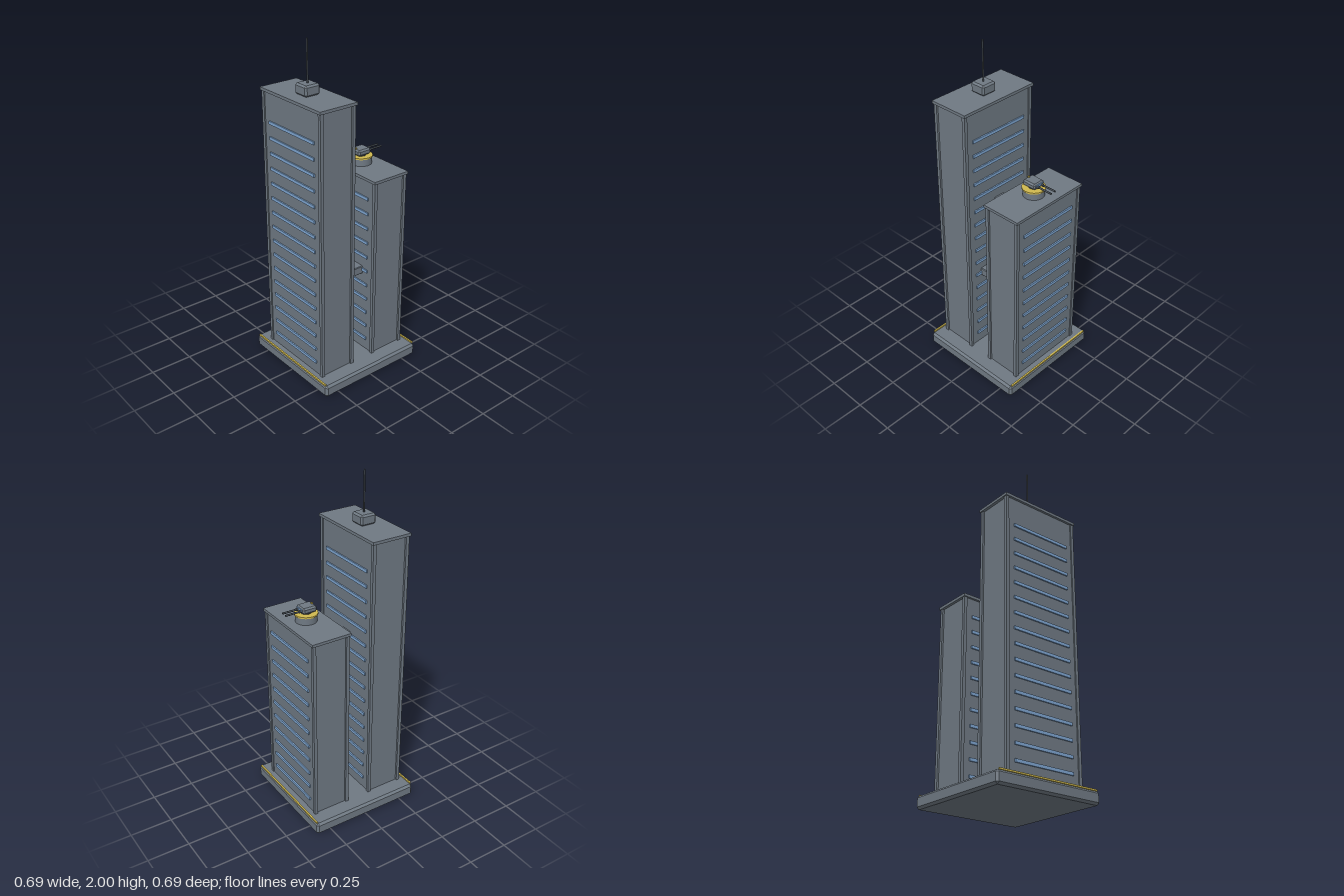
import * as THREE from 'three';
import { ConvexGeometry } from 'three/addons/geometries/ConvexGeometry.js';

const mat = (name, color) => {
  const m = new THREE.MeshStandardMaterial({ color });
  m.name = name;
  return m;
};

export function createModel() {
  const concrete = mat('slate grey', 0x6f7983);
  const dark = mat('dark steel', 0x454c53);
  const blue = mat('window blue', 0x7ea5d0);
  const yellow = mat('warning yellow', 0xd0b94f);

  const model = new THREE.Group();
  model.name = 'twinTowers';

  const add = (parent, name, geometry, material, x, y, z) => {
    const mesh = new THREE.Mesh(geometry, material);
    mesh.name = name;
    mesh.position.set(x, y, z);
    parent.add(mesh);
    return mesh;
  };
  const box = (w, h, d) => new THREE.BoxGeometry(w, h, d);

  // Box with every edge cut at 45 degrees
  const chamferBox = (w, h, d, c) => {
    const points = [];
    for (const sx of [-1, 1]) for (const sy of [-1, 1]) for (const sz of [-1, 1]) {
      const [x, y, z] = [w / 2, h / 2, d / 2];
      points.push(
        new THREE.Vector3(sx * x, sy * (y - c), sz * (z - c)),
        new THREE.Vector3(sx * (x - c), sy * y, sz * (z - c)),
        new THREE.Vector3(sx * (x - c), sy * (y - c), sz * z));
    }
    return new ConvexGeometry(points);
  };

  // Base slab with a yellow strip along its front and back edges
  const ground = 0.075;
  add(model, 'base', chamferBox(0.69, ground, 0.69, 0.013), concrete, 0, ground / 2, 0);
  for (const s of [-1, 1]) {
    add(model, 'edgeStrip', box(0.656, 0.009, 0.01), yellow, 0, 0.0775, s * 0.338);
  }

  // Tower: walls, corner posts, roof slab and window bands on front and back
  const tower = (name, z, top, rows, lastRow) => {
    const g = new THREE.Group();
    g.name = name;
    g.position.z = z;
    model.add(g);
    const h = top - 0.015 - ground;
    const mid = ground + h / 2;
    add(g, 'walls', box(0.49, h, 0.22), concrete, 0, mid, 0);
    for (const sx of [-1, 1]) for (const sz of [-1, 1]) {
      add(g, 'cornerPost', box(0.02, h, 0.02), concrete, sx * 0.246, mid, sz * 0.107);
    }
    add(g, 'roofSlab', box(0.524, 0.017, 0.247), concrete, 0, top - 0.0085, 0);
    for (let i = 0; i < rows; i++) {
      const y = 0.15 + (lastRow - 0.15) * i / (rows - 1);
      for (const s of [-1, 1]) {
        add(g, 'windowBand', box(0.394, 0.018, 0.009), blue, 0, y, s * 0.1135);
      }
    }
    return g;
  };
  const tall = tower('tallTower', 0.1885, 1.7, 16, 1.512);
  const short = tower('shortTower', -0.1885, 1.21, 11, 1.08);

  // Skybridges
  add(model, 'upperBridge', chamferBox(0.075, 0.05, 0.17, 0.004), concrete, -0.002, 1.055, 0);
  add(model, 'lowerBridge', chamferBox(0.075, 0.05, 0.17, 0.004), concrete, 0.117, 0.61, 0);

  // Roof box and mast on the tall tower
  add(tall, 'roofBox', chamferBox(0.098, 0.062, 0.098, 0.01), concrete, 0, 1.731, 0);
  add(tall, 'mast', new THREE.CylinderGeometry(0.005, 0.005, 0.24, 12), dark, 0, 1.88, 0);

  // Swivelling roof unit on the short tower
  const turret = new THREE.Group();
  turret.name = 'roofTurret';
  turret.position.y = 1.21;
  short.add(turret);
  add(turret, 'pedestal', new THREE.CylinderGeometry(0.062, 0.062, 0.042, 32), concrete, 0, 0.021, 0);
  add(turret, 'ring', new THREE.CylinderGeometry(0.067, 0.067, 0.009, 32), yellow, 0, 0.0455, 0);
  add(turret, 'neck', new THREE.CylinderGeometry(0.03, 0.03, 0.02, 24), dark, 0, 0.057, 0);
  add(turret, 'head', chamferBox(0.08, 0.036, 0.09, 0.009), concrete, 0, 0.075, 0.004);
  add(turret, 'sensor', box(0.05, 0.012, 0.006), blue, 0, 0.08, -0.042);
  add(turret, 'beacon', box(0.009, 0.008, 0.009), yellow, 0, 0.096, 0.038);
  for (const s of [-1, 1]) {
    const rod = (name, r, len, z) => {
      const m = add(turret, name, new THREE.CylinderGeometry(r, r, len, 12), dark, s * 0.016, 0.073, z);
      m.rotation.x = Math.PI / 2;
    };
    rod('barrelSleeve', 0.008, 0.02, -0.045);
    rod('barrel', 0.0055, 0.1, -0.089);
  }

  return model;
}
